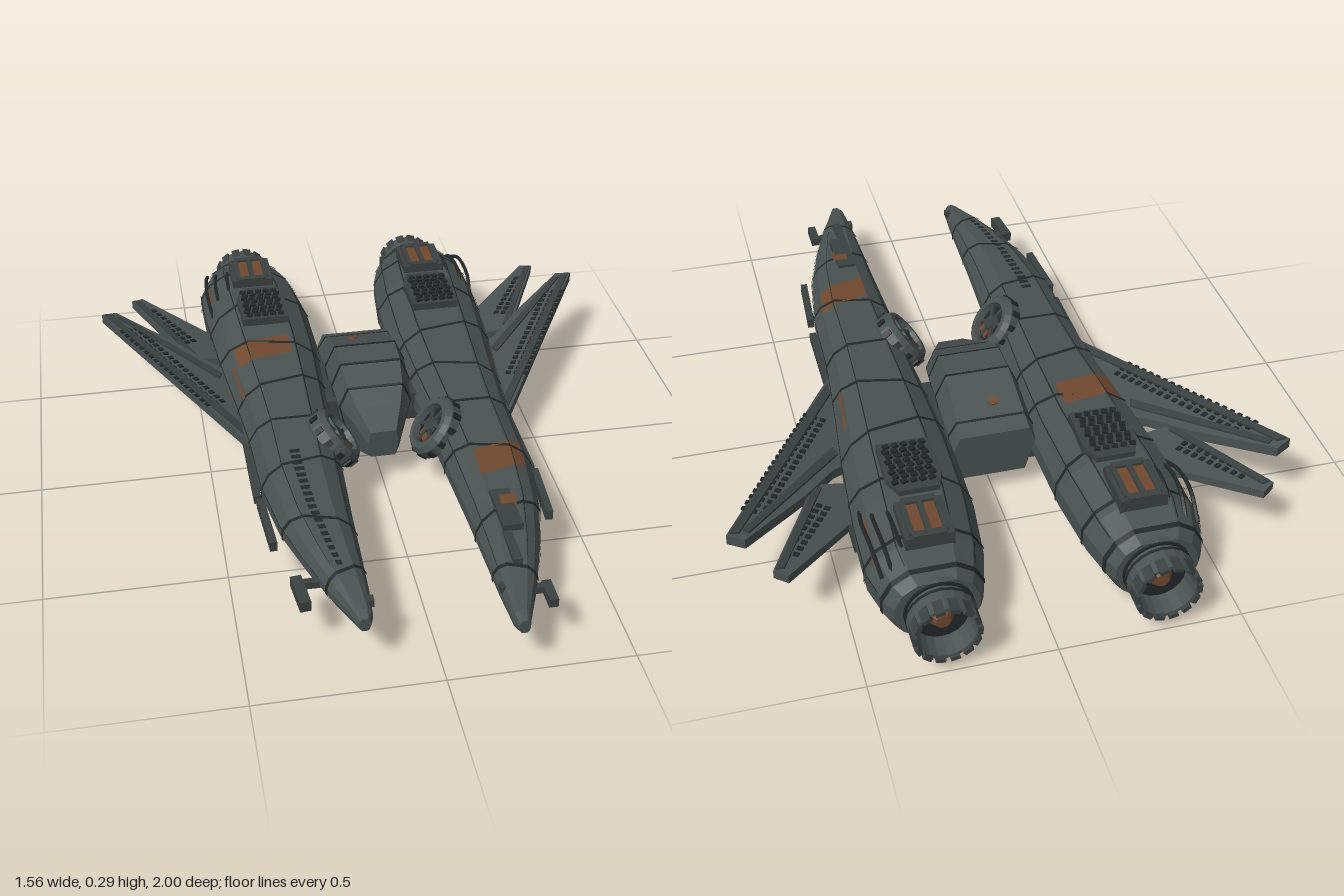
import * as THREE from 'three';
import { mergeGeometries } from 'three/addons/utils/BufferGeometryUtils.js';

const mat = (name, color) => {
  const m = new THREE.MeshStandardMaterial({ color });
  m.name = name;
  return m;
};

// Hull stations: z, inner x, outer x, bottom y, top y
const STATIONS = [
  [-0.9, 0.18, 0.405, 0.035, 0.215], [-0.87, 0.165, 0.425, 0.03, 0.225], [-0.78, 0.14, 0.45, 0.025, 0.245],
  [-0.6, 0.12, 0.448, 0.022, 0.258], [-0.35, 0.115, 0.43, 0.03, 0.248], [-0.1, 0.127, 0.405, 0.04, 0.24],
  [0.1, 0.14, 0.388, 0.055, 0.236], [0.35, 0.148, 0.382, 0.068, 0.232], [0.55, 0.156, 0.355, 0.08, 0.222],
  [0.72, 0.16, 0.31, 0.093, 0.21], [0.87, 0.164, 0.26, 0.107, 0.192], [0.97, 0.17, 0.22, 0.118, 0.176],
  [1, 0.18, 0.21, 0.127, 0.165],
];
// Hull cross-section, clockwise from the top inner corner
const SECTION = [[-0.45, 1], [0.45, 1], [0.8, 0.7], [1, 0.22], [1, -0.22], [0.8, -0.68],
  [0.45, -1], [-0.45, -1], [-0.8, -0.68], [-1, -0.22], [-1, 0.22], [-0.8, 0.7]];
const N = SECTION.length;

function hullPoint(z, t, nose, off = 0, skew = 0) {
  const j = Math.floor(t), f = t - j;
  const a = SECTION[(j + N) % N], b = SECTION[(j + 1 + N) % N];
  const u = a[0] + (b[0] - a[0]) * f, v = a[1] + (b[1] - a[1]) * f;
  z = THREE.MathUtils.clamp(z + skew * u, -0.9, 1);
  let i = 0;
  while (i < STATIONS.length - 2 && STATIONS[i + 1][0] < z) i++;
  const p = STATIONS[i], q = STATIONS[i + 1], k = (z - p[0]) / (q[0] - p[0]);
  const [, x0, x1, y0, y1] = p.map((n, c) => n + (q[c] - n) * k);
  return new THREE.Vector3((x0 + x1) / 2 + u * ((x1 - x0) / 2 + off), (y0 + y1) / 2 + v * ((y1 - y0) / 2 + off),
    z > 0.1 ? 0.1 + (z - 0.1) * nose : z);
}

// Skin rings of points ordered by rising z; closed rings also get end caps
function loft(rings, closed = true) {
  const pos = [], n = rings[0].length;
  const tri = (...v) => v.forEach((p) => pos.push(p.x, p.y, p.z));
  for (let i = 0; i < rings.length - 1; i++) {
    for (let j = 0; j < (closed ? n : n - 1); j++) {
      const k = (j + 1) % n, a = rings[i][j], b = rings[i][k], c = rings[i + 1][k], d = rings[i + 1][j];
      tri(a, d, c); tri(a, c, b);
    }
  }
  if (closed) {
    const first = rings[0], last = rings[rings.length - 1];
    for (let j = 1; j < n - 1; j++) { tri(first[0], first[j], first[j + 1]); tri(last[0], last[j + 1], last[j]); }
  }
  return new THREE.BufferGeometry().setAttribute('position', new THREE.Float32BufferAttribute(pos, 3));
}

// Thin patch that follows the hull skin
function band(z0, z1, t0, t1, nose, skew = 0, off = 0.003) {
  const ts = [t0], zs = [z0, ...STATIONS.map((s) => s[0]).filter((z) => z > z0 && z < z1), z1];
  for (let t = Math.floor(t0) + 1; t < t1; t++) ts.push(t);
  ts.push(t1);
  return loft(zs.map((z) => ts.map((t) => hullPoint(z, t, nose, off, skew))), false);
}

const box = (w, h, d, x, y, z, ry = 0) => new THREE.BoxGeometry(w, h, d).rotateY(ry).translate(x, y, z);

// Flat slab outlined in x,z and tilted up towards the wing tip
function slab(points, top, thick, slope = 0.19) {
  const shape = new THREE.Shape(points.map((p) => new THREE.Vector2(...p)));
  const g = new THREE.ExtrudeGeometry(shape, { depth: thick, bevelEnabled: false }).rotateX(Math.PI / 2);
  const p = g.attributes.position;
  for (let i = 0; i < p.count; i++) p.setY(i, p.getY(i) + top + slope * (p.getX(i) - 0.39));
  return g;
}

const lathe = (pts, seg) => new THREE.LatheGeometry(pts.map((p) => new THREE.Vector2(...p)), seg);

export function createModel() {
  const root = new THREE.Group();
  root.name = 'twinHullSpacecraft';
  const hullMat = mat('hull grey', 0x4a5151), trim = mat('trim grey', 0x3b4040);
  const dark = mat('panel line black', 0x232727), rust = mat('rust', 0x70492f);

  for (const s of [1, -1]) {
    const side = new THREE.Group(), nose = s > 0 ? 1 : 0.912;
    side.name = s > 0 ? 'leftSide' : 'rightSide';
    root.add(side);
    // Merge, mirror where needed and make flat normals
    const add = (name, material, ...geos) => {
      const g = mergeGeometries(geos.map((o) => {
        const c = o.index ? o.toNonIndexed() : o;
        ['uv', 'normal'].forEach((k) => c.deleteAttribute(k));
        return c;
      }));
      if (s < 0) {
        g.scale(-1, 1, 1);
        const a = g.attributes.position.array;
        for (let i = 0; i < a.length; i += 9) {
          for (let k = 3; k < 6; k++) [a[i + k], a[i + k + 3]] = [a[i + k + 3], a[i + k]];
        }
      }
      g.computeVertexNormals();
      const m = new THREE.Mesh(g, material);
      m.name = name;
      side.add(m);
    };

    // Hull
    add('hull', hullMat, loft(STATIONS.map((st) => SECTION.map((_, j) => hullPoint(st[0], j, nose)))));
    // Panel lines around and along the hull
    const lines = [[-0.76, 0], [-0.55, 0.03], [-0.31, -0.03], [-0.1, 0.03], [0.1, 0], [0.33, 0.025], [0.6, -0.03], [0.82, 0.02]]
      .map(([z, skew]) => band(z, z + 0.012, 0, N, nose, skew));
    for (const t of [1.05, 2.9, 5, 8, 10.9]) lines.push(band(-0.84, 0.8, t, t + 0.06, nose));
    lines.push(band(-0.76, 0.33, 11.9, 11.97, nose), band(-0.87, -0.855, 0, N, nose));
    add('panelLines', dark, ...lines);

    // Rust patches
    const patches = s > 0
      ? [band(0.34, 0.45, 0.02, 1.9, nose, -0.03), band(0.57, 0.64, 0.3, 0.75, nose, 0, 0.014)]
      : [band(-0.33, -0.23, 0.1, 1.8, nose, 0.02)];
    for (const z of [-0.8, -0.24]) patches.push(band(z, z + 0.17, 2.1, 2.3, nose));
    add('rustPatches', rust, ...patches);

    // Nose fittings
    if (s > 0) {
      add('noseRidge', trim, box(0.055, 0.02, 0.16, 0.24, 0.222, 0.62), box(0.025, 0.02, 0.12, 0.222, 0.205, 0.76));
      add('noseGun', trim, box(0.025, 0.025, 0.08, 0.293, 0.14, 0.88), box(0.06, 0.02, 0.02, 0.265, 0.14, 0.855));
    } else {
      const holes = [];
      for (let i = 0; i < 18; i++) holes.push(band(0.28 + i * 0.03, 0.298 + i * 0.03, 0.5, 0.75, nose, 0, 0.005));
      add('noseVents', dark, ...holes);
      add('noseGun', trim, box(0.03, 0.03, 0.11, 0.335, 0.14, 0.765, -0.1), box(0.08, 0.02, 0.02, 0.3, 0.14, 0.73));
    }
    add('noseSensor', trim, box(0.02, 0.02, 0.025, 0.172, 0.17, s > 0 ? 0.87 : 0.86));
    add('sideRails', trim, box(0.02, 0.03, 0.2, 0.385, 0.145, 0.47, -0.06), box(0.02, 0.025, 0.3, 0.394, 0.125, 0.18),
      box(0.03, 0.04, 0.22, 0.435, 0.105, -0.5));

    // Roof grille
    add('grilleFrame', trim, slab([[0.2, -0.41], [0.345, -0.41], [0.35, -0.55], [0.325, -0.61], [0.215, -0.61], [0.195, -0.55]], 0.274, 0.04, 0));
    const slats = [];
    for (let r = 0; r < 8; r++) for (let c = 0; c < 5; c++) {
      slats.push(box(0.017, 0.008, 0.014, 0.222 + c * 0.025 + (r % 2) * 0.006, 0.277, -0.43 - r * 0.021, 0.3));
    }
    add('grilleSlats', dark, ...slats);

    // Roof vent with rusty slots
    add('ventFrame', trim, box(0.13, 0.05, 0.145, 0.285, 0.253, -0.725), box(0.09, 0.018, 0.02, 0.285, 0.277, -0.66),
      box(0.09, 0.018, 0.02, 0.285, 0.277, -0.79), ...[0.24, 0.285, 0.33].map((x) => box(0.014, 0.014, 0.12, x, 0.279, -0.725)));
    add('ventSlots', rust, ...[0.262, 0.308].map((x) => box(0.028, 0.005, 0.1, x, 0.28, -0.725)));
    // Hoses on the outer shoulder
    add('hoses', dark, ...[0.35, 0.39, 0.42].map((x, i) => new THREE.TubeGeometry(new THREE.CatmullRomCurve3([
      new THREE.Vector3(x, 0.2, -0.84), new THREE.Vector3(x + 0.01, 0.25 - i * 0.008, -0.76),
      new THREE.Vector3(x + 0.015, 0.25 - i * 0.012, -0.66), new THREE.Vector3(x + 0.005, 0.19, -0.57)]), 12, 0.006, 5)));

    // Engine nozzle
    const place = (g) => g.rotateX(-Math.PI / 2).translate(0.29, 0.123, -0.87);
    add('nozzle', hullMat, place(lathe([[0.095, 0], [0.1, 0.025], [0.086, 0.035], [0.084, 0.05], [0.092, 0.058], [0.088, 0.118],
      [0.078, 0.118], [0.07, 0.05], [0, 0.035]], 20)));
    add('nozzleRings', dark, ...[0.032, 0.066].map((y, i) => place(new THREE.CylinderGeometry(0.093, 0.093, 0.008, 20, 1).translate(0, y - (i ? 0.012 : 0), 0))));
    const teeth = [];
    for (let i = 0; i < 14; i++) {
      teeth.push(place(new THREE.BoxGeometry(0.012, 0.045, 0.026).translate(0.084, 0.1075, 0).rotateY(i * Math.PI / 7)));
    }
    add('nozzleTeeth', trim, ...teeth);
    add('engineCore', rust, place(new THREE.CylinderGeometry(0.02, 0.045, 0.035, 12).translate(0, 0.06, 0)));

    // Landing skid under the hull
    add('skid', trim, slab([[0.22, -0.73], [0.325, -0.73], [0.345, -0.66], [0.345, -0.27], [0.31, -0.17], [0.235, -0.17], [0.205, -0.27], [0.205, -0.66]], 0.045, 0.035, 0));
    add('skidSole', hullMat, slab([[0.225, -0.725], [0.32, -0.725], [0.335, -0.65], [0.335, -0.28], [0.305, -0.185], [0.24, -0.185], [0.215, -0.28], [0.215, -0.65]], 0.012, 0.012, 0));
    add('lowerFin', trim, loft([[-0.62, 0.05], [-0.5, 0.028], [-0.3, 0.032], [-0.2, 0.06]].map(([z, y]) =>
      [[0.37, 0.11], [0.425, 0.11], [0.4, y], [0.37, y]].map(([x, py]) => new THREE.Vector3(x, py, z)))));

    // Wings with raised leading edges and rows of slots
    const wing = [[0.37, 0.1], [0.4, 0.06], [0.78, -0.61], [0.735, -0.63], [0.55, -0.46], [0.46, -0.36], [0.37, -0.3]];
    const small = [[0.4, -0.4], [0.52, -0.4], [0.68, -0.735], [0.645, -0.757], [0.455, -0.57], [0.4, -0.56]];
    small.reverse();
    wing.reverse();
    add('mainWing', hullMat, slab(wing, 0.15, 0.03));
    add('rearWing', hullMat, slab(small, 0.138, 0.025));
    add('wingEdges', trim, slab([[0.4, 0.04], [0.77, -0.605], [0.745, -0.605], [0.4, -0.01]], 0.157, 0.01),
      slab([[0.5, -0.42], [0.52, -0.42], [0.672, -0.73], [0.65, -0.73]], 0.145, 0.01),
      slab([[0.43, -0.29], [0.72, -0.605], [0.735, -0.595], [0.44, -0.26]], 0.156, 0.01));
    const slot = (x, z, top) => slab([[x, z], [x + 0.014, z + 0.006], [x + 0.02, z - 0.006], [x + 0.006, z - 0.012]], top, 0.005);
    const slots = [];
    for (let i = 0; i < 18; i++) {
      for (let r = 0; r < 3; r++) slots.push(slot(0.435 + i * 0.0135 + r * 0.022, -0.13 - i * 0.0235 + r * 0.012, 0.154));
      if (i < 9) for (let r = 0; r < 2; r++) slots.push(slot(0.49 + i * 0.014 + r * 0.02, -0.5 - i * 0.022 + r * 0.012, 0.142));
    }
    add('wingSlots', dark, ...slots);

    // Tilted round turret on the inner shoulder
    const tilt = (g) => g.rotateZ(0.9).translate(0.147, 0.19, 0.16);
    add('turretRing', hullMat, tilt(lathe([[0.08, -0.035], [0.092, -0.02], [0.092, 0.012], [0.08, 0.028], [0.064, 0.028], [0.06, 0.008], [0, 0.008]], 20)));
    const studs = [];
    for (let i = 0; i < 12; i++) studs.push(tilt(new THREE.BoxGeometry(0.01, 0.026, 0.018).translate(0.091, -0.004, 0).rotateY(i * Math.PI / 6)));
    add('turretStuds', dark, ...studs, tilt(new THREE.CylinderGeometry(0.058, 0.058, 0.004, 20).translate(0, 0.009, 0)));
    add('turretSpokes', trim, tilt(new THREE.CylinderGeometry(0.022, 0.028, 0.016, 10).translate(0, 0.016, 0)),
      ...[0, 1, 2].map((i) => tilt(new THREE.BoxGeometry(0.12, 0.01, 0.012).rotateY(i * Math.PI / 3).translate(0, 0.014, 0))));
    add('turretRust', rust, tilt(new THREE.BoxGeometry(0.022, 0.006, 0.05).translate(-0.035, 0.013, 0.005)));
    // Brace between hull and cabin
    add('brace', trim, box(0.06, 0.09, 0.3, 0.12, 0.13, -0.2));
  }

  // Cabin: z, top half width, top y, middle half width, middle y, bottom half width, bottom y
  const cabin = [
    [-0.375, 0.1, 0.215, 0.118, 0.17, 0.09, 0.07], [-0.33, 0.098, 0.232, 0.122, 0.19, 0.095, 0.057],
    [-0.18, 0.092, 0.287, 0.122, 0.22, 0.095, 0.055], [-0.08, 0.09, 0.285, 0.118, 0.215, 0.09, 0.055],
    [0.0, 0.082, 0.25, 0.108, 0.19, 0.08, 0.058], [0.06, 0.065, 0.215, 0.08, 0.17, 0.062, 0.065],
    [0.135, 0.038, 0.175, 0.045, 0.14, 0.035, 0.09],
  ];
  const ring = ([z, a, ya, b, yb, c, yc], e = 0) => [[-a, ya], [a, ya], [b, yb], [c, yc], [-c, yc], [-b, yb]]
    .map(([x, y]) => new THREE.Vector3(x * (1 + e), (y - 0.15) * (1 + e) + 0.15, z));
  const addCentre = (name, material, g) => {
    g.computeVertexNormals();
    const m = new THREE.Mesh(g, material);
    m.name = name;
    root.add(m);
  };
  addCentre('cabin', hullMat, loft(cabin.map((c) => ring(c))));
  // Cabin seams
  cabin.slice(1, 5).forEach((c, i) => {
    const end = c.map((v, k) => v + (cabin[i + 2][k] - v) * 0.006 / (cabin[i + 2][0] - c[0]));
    addCentre('cabinSeam', dark, loft([ring(c, 0.015), ring(end, 0.015)]));
  });
  addCentre('bellyHatch', dark, new THREE.CylinderGeometry(0.055, 0.055, 0.008, 6).translate(0, 0.054, -0.2));
  addCentre('cabinRustSpot', rust, new THREE.CylinderGeometry(0.015, 0.015, 0.006, 8).rotateX(-0.35).translate(-0.02, 0.253, -0.277));
  return root;
}
